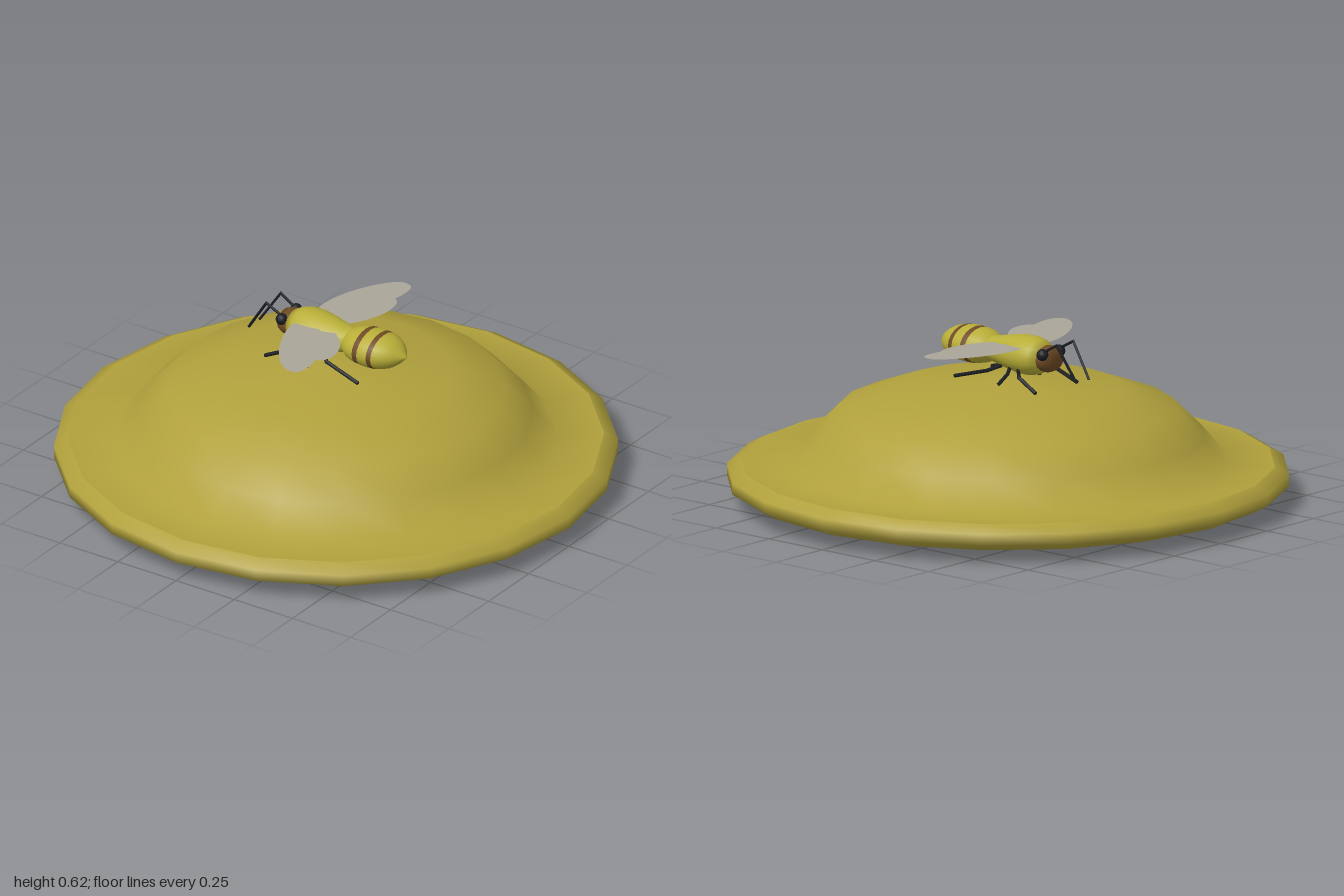
import * as THREE from 'three';

const mat = (name, color, side = THREE.FrontSide) => {
  const m = new THREE.MeshStandardMaterial({ color, side });
  m.name = name;
  return m;
};

export function createModel() {
  const olive = mat('olive glaze', 0xb0a03c);
  const yellow = mat('bee yellow', 0xb8ae38);
  const brown = mat('brown', 0x6e4a24);
  const black = mat('black', 0x1b1d22);
  const wingGrey = mat('wing grey', 0xaaa699, THREE.DoubleSide);

  const model = new THREE.Group();
  const add = (parent, name, geometry, material) => {
    const mesh = new THREE.Mesh(geometry, material);
    mesh.name = name;
    parent.add(mesh);
    return mesh;
  };
  const lathe = (points, sides) =>
    new THREE.LatheGeometry(points.map(([r, y]) => new THREE.Vector2(r, y)), sides);

  // Lid: inner lip, underside, bevelled rim and dome
  const lid = new THREE.Group();
  lid.name = 'lid';
  model.add(lid);
  add(lid, 'lipBottom', lathe([[0, 0], [0.735, 0]], 20), brown);
  add(lid, 'lipWall', lathe([[0.735, 0], [0.735, 0.045]], 20), brown);
  add(lid, 'rimUnderside', lathe([[0.735, 0.045], [0.95, 0.045]], 20), brown);
  add(lid, 'rim', lathe([[0.95, 0.045], [1, 0.072], [1, 0.113], [0.95, 0.14]], 20), olive);
  add(lid, 'dome', lathe([[0.95, 0.14], [0.785, 0.14], [0.7, 0.24], [0.6, 0.34],
    [0.41, 0.41], [0.08, 0.447], [0, 0.45]], 20), olive);

  // Bee handle, lying along x with its head towards -x
  const bee = new THREE.Group();
  bee.name = 'bee';
  model.add(bee);
  const bodyPart = (name, points, flatten, material) => {
    const geometry = lathe(points.map(([x, r]) => [r, x]), 20);
    geometry.rotateZ(-Math.PI / 2);
    geometry.scale(1, flatten, 1);
    add(bee, name, geometry, material).position.y = 0.545;
  };
  bodyPart('head', [[-0.222, 0], [-0.222, 0.045], [-0.2, 0.056], [-0.172, 0.056]], 0.85, brown);
  bodyPart('thorax', [[-0.18, 0], [-0.18, 0.055], [-0.15, 0.073], [-0.12, 0.081], [-0.07, 0.08],
    [-0.02, 0.071], [0.03, 0.059], [0.06, 0.053], [0.09, 0.05]], 0.87, yellow);

  // Abdomen cut into alternating bands
  const radius = new THREE.SplineCurve([[0.05, 0.045], [0.08, 0.072], [0.12, 0.087], [0.17, 0.091],
    [0.22, 0.083], [0.265, 0.055], [0.305, 0]].map(p => new THREE.Vector2(...p)));
  const cuts = [0, 0.36, 0.43, 0.56, 0.62, 1];
  for (let i = 0; i < cuts.length - 1; i++) {
    const points = [];
    for (let k = 0; k <= 6; k++) {
      const p = radius.getPoint(THREE.MathUtils.lerp(cuts[i], cuts[i + 1], k / 6));
      points.push([p.x, Math.max(0, p.y)]);
    }
    const stripe = i % 2 === 1;
    bodyPart(stripe ? 'abdomenStripe' : 'abdomen', points, 0.73, stripe ? brown : yellow);
  }

  // Eyes, antennae and legs on both sides
  const limb = (name, points, r) => {
    for (let i = 0; i < points.length - 1; i++) {
      const a = new THREE.Vector3(...points[i]);
      const b = new THREE.Vector3(...points[i + 1]);
      const rod = add(bee, name, new THREE.CylinderGeometry(r, r, a.distanceTo(b) + r, 6), black);
      rod.position.copy(a).lerp(b, 0.5);
      rod.quaternion.setFromUnitVectors(new THREE.Vector3(0, 1, 0), b.sub(a).normalize());
    }
  };
  for (const s of [-1, 1]) {
    const eye = add(bee, 'eye', new THREE.SphereGeometry(0.022, 12, 8), black);
    eye.position.set(-0.202, 0.568, s * 0.045);
    limb('antenna', [[-0.2, 0.575, s * 0.04], [-0.268, 0.613, s * 0.045], [-0.35, 0.49, s * 0.034]], 0.005);
    limb('frontLeg', [[-0.1, 0.5, s * 0.06], [-0.14, 0.485, s * 0.1], [-0.225, 0.446, s * 0.112]], 0.007);
    limb('middleLeg', [[-0.06, 0.5, s * 0.06], [-0.072, 0.485, s * 0.085], [-0.052, 0.45, s * 0.11]], 0.007);
    limb('backLeg', [[-0.01, 0.5, s * 0.05], [0.02, 0.485, s * 0.09], [0.16, 0.446, s * 0.1]], 0.007);
  }

  // Flat wings, outlined as [x, z]
  const wing = (name, points, y) => {
    const curve = new THREE.SplineCurve(points.map(([x, z]) => new THREE.Vector2(x, -z)));
    const geometry = new THREE.ShapeGeometry(new THREE.Shape(curve.getPoints(36)));
    geometry.rotateX(-Math.PI / 2);
    // Keep the upper face pointing up whichever way the outline runs
    add(bee, name, geometry, wingGrey).position.y = y;
  };
  wing('rightForewing', [[-0.11, -0.04], [-0.13, -0.1], [-0.115, -0.2], [-0.07, -0.31], [-0.015, -0.385],
    [0.025, -0.402], [0.058, -0.385], [0.065, -0.33], [0.05, -0.24], [0.01, -0.12], [-0.05, -0.04]], 0.584);
  wing('rightHindwing', [[-0.06, -0.04], [-0.02, -0.18], [0.03, -0.27], [0.065, -0.285], [0.086, -0.24],
    [0.084, -0.17], [0.06, -0.1], [0.025, -0.04]], 0.58);
  wing('leftForewing', [[-0.11, 0.04], [-0.132, 0.08], [-0.11, 0.17], [-0.06, 0.27], [0, 0.345],
    [0.05, 0.374], [0.085, 0.365], [0.097, 0.315], [0.08, 0.23], [0.03, 0.12], [-0.05, 0.04]], 0.584);
  wing('leftHindwing', [[-0.06, 0.04], [0, 0.16], [0.06, 0.235], [0.095, 0.245], [0.118, 0.205],
    [0.108, 0.14], [0.07, 0.08], [0.025, 0.04]], 0.58);

  return model;
}
